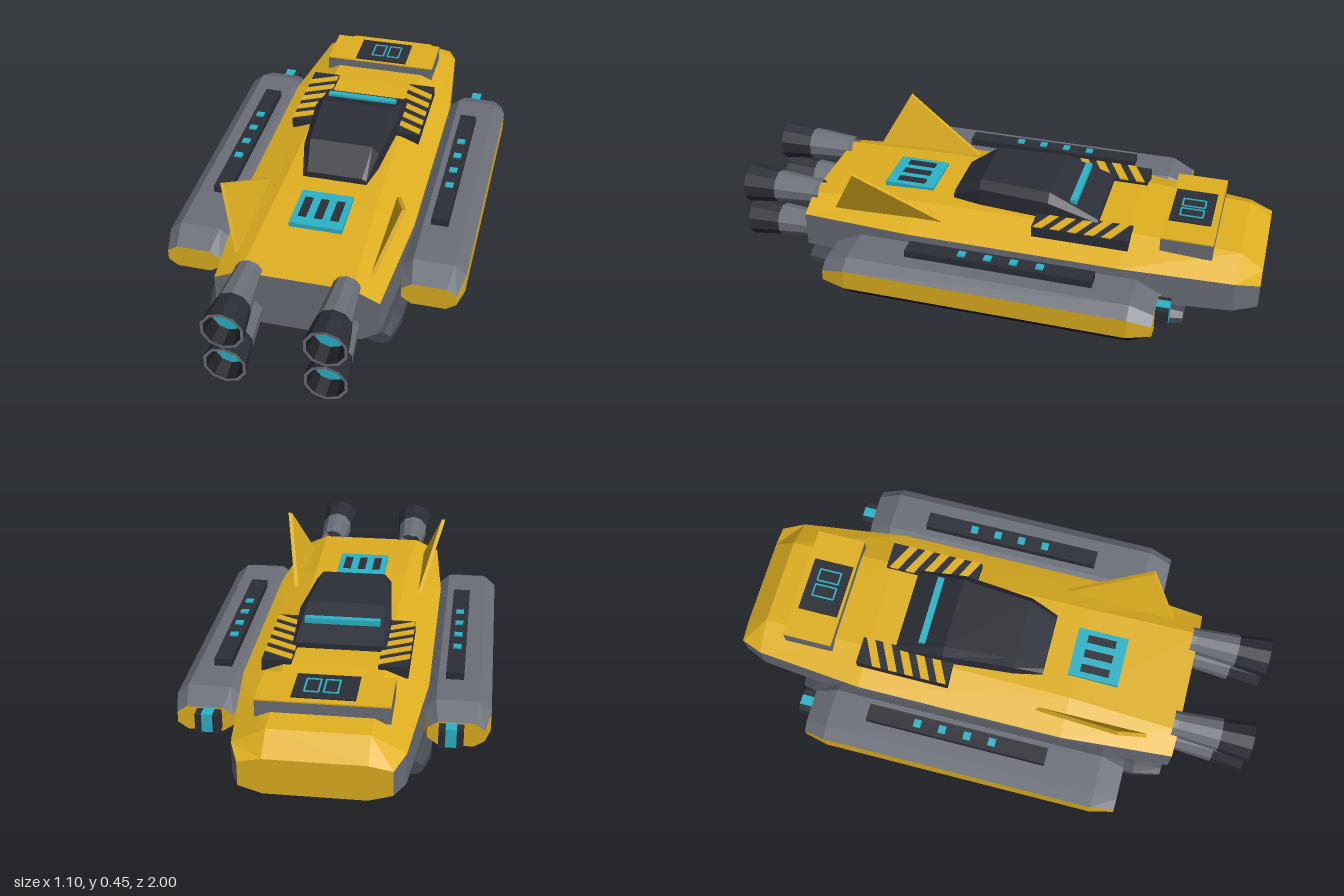
import * as THREE from 'three';

const mat = (color, side = THREE.FrontSide) =>
  new THREE.MeshStandardMaterial({ color, flatShading: true, side });
const YELLOW = mat(0xe0b020), GREY = mat(0x6b6f78), DARK = mat(0x2b2e36), BLACK = mat(0x1c1e23),
  SKID = mat(0x464a52), CYAN = mat(0x2bb3c8);

function add(parent, name, geometry, material, x = 0, y = 0, z = 0) {
  const m = new THREE.Mesh(geometry, material);
  m.name = name;
  m.position.set(x, y, z);
  parent.add(m);
  return m;
}

// box given by its centre in x and z, its bottom and top in y
const box = (parent, name, material, x, z, w, d, y0, y1) =>
  add(parent, name, new THREE.BoxGeometry(w, y1 - y0, d), material, x, (y0 + y1) / 2, z);

// chamfered cross-section: half width, half width of top and bottom, four heights
const section = (z, w, tw, bw, y0, y1, y2, y3) =>
  [[bw, y0], [w, y1], [w, y2], [tw, y3], [-tw, y3], [-w, y2], [-w, y1], [-bw, y0]]
    .map(([x, y]) => new THREE.Vector3(x, y, z));

// skin over sections ordered by rising z; materials for top, sides, bottom and both ends
function loft(parent, name, sections, { top, side, bottom, nose, tail }, x = 0) {
  const group = new THREE.Group();
  group.name = name;
  group.position.x = x;
  parent.add(group);
  const skin = (part, bands, material, caps = []) => {
    const pts = [];
    for (let i = 0; i + 1 < sections.length; i++) for (const j of bands) {
      const k = (j + 1) % 8, s = sections[i], t = sections[i + 1];
      pts.push(s[j], s[k], t[j], s[k], t[k], t[j]);
    }
    for (const [s, flip] of caps) for (let j = 1; j < 7; j++)
      pts.push(s[0], s[flip ? j + 1 : j], s[flip ? j : j + 1]);
    const g = new THREE.BufferGeometry().setFromPoints(pts);
    g.computeVertexNormals();
    add(group, name + part, g, material);
  };
  skin('Top', [2, 3, 4], top);
  skin('Sides', [1, 5], side);
  skin('Bottom', [0, 6, 7], bottom);
  skin('Nose', [], nose, [[sections[0], true]]);
  skin('Tail', [], tail, [[sections.at(-1), false]]);
  return group;
}

function addEngine(parent, x, y) {
  const engine = new THREE.Group();
  engine.name = 'engine';
  engine.position.set(x, y, 0.72);
  parent.add(engine);
  const ring = (name, pts, material) =>
    add(engine, name, new THREE.LatheGeometry(pts.map(p => new THREE.Vector2(...p)), 10)
      .rotateX(Math.PI / 2), material);
  const double = c => mat(c, THREE.DoubleSide);
  ring('engineBody', [[0.05, -0.02], [0.05, 0], [0.063, 0.16]], double(0x6b6f78));
  ring('engineNozzle', [[0.063, 0.16], [0.077, 0.28]], double(0x2b2e36));
  ring('engineRim', [[0.077, 0.28], [0.066, 0.28]], double(0x6b6f78));
  ring('engineThroat', [[0.066, 0.28], [0.055, 0.21]], double(0x1c1e23));
  ring('engineGlow', [[0.056, 0.212], [0, 0.212]], double(0x2bb3c8));
}

export function createModel() {
  const ship = new THREE.Group();
  ship.name = 'spaceship';

  // main hull
  loft(ship, 'hull', [
    section(-1, 0.25, 0.17, 0.17, 0.075, 0.1, 0.19, 0.205),
    section(-0.915, 0.285, 0.17, 0.2, 0.045, 0.09, 0.205, 0.265),
    section(-0.5, 0.33, 0.18, 0.24, 0.035, 0.09, 0.225, 0.285),
    section(0.3, 0.33, 0.185, 0.24, 0.035, 0.09, 0.225, 0.28),
    section(0.725, 0.293, 0.2, 0.23, 0.035, 0.08, 0.215, 0.258),
  ], { top: YELLOW, side: GREY, bottom: BLACK, nose: YELLOW, tail: GREY });

  // cockpit canopy
  loft(ship, 'canopy', [
    section(-0.39, 0.17, 0.16, 0.17, 0.27, 0.285, 0.295, 0.305),
    section(-0.2, 0.17, 0.14, 0.17, 0.27, 0.29, 0.35, 0.38),
    section(0.07, 0.145, 0.12, 0.145, 0.27, 0.29, 0.35, 0.38),
    section(0.178, 0.122, 0.105, 0.122, 0.27, 0.28, 0.295, 0.305),
  ], { top: DARK, side: DARK, bottom: DARK, nose: DARK, tail: DARK });
  box(ship, 'canopyLight', CYAN, 0, -0.29, 0.275, 0.025, 0.335, 0.36);

  // raised nose deck with a display
  box(ship, 'deckBase', GREY, 0, -0.725, 0.45, 0.19, 0.25, 0.31);
  box(ship, 'deckCover', YELLOW, 0, -0.725, 0.45, 0.19, 0.31, 0.315);
  box(ship, 'displayScreen', DARK, 0, -0.718, 0.215, 0.155, 0.31, 0.32);
  for (const x of [-0.02, 0.045]) {
    for (const s of [-1, 1]) {
      box(ship, 'displayFrameSide', CYAN, x + s * 0.024, -0.718, 0.006, 0.085, 0.318, 0.323);
      box(ship, 'displayFrameEnd', CYAN, x, -0.718 + s * 0.042, 0.048, 0.006, 0.318, 0.323);
    }
  }

  // rear vent
  box(ship, 'ventPanel', CYAN, 0, 0.368, 0.195, 0.195, 0.25, 0.29);
  for (const x of [-0.06, 0, 0.06])
    box(ship, 'ventSlot', DARK, x, 0.368, 0.03, 0.11, 0.28, 0.294);

  for (const s of [-1, 1]) {
    // engines
    for (const y of [0.245, 0.09]) addEngine(ship, s * 0.173, y);

    // warning plates with slanted stripes
    box(ship, 'warningPlate', DARK, s * 0.205, -0.34, 0.105, 0.36, 0.255, 0.298);
    for (let i = 0; i < 5; i++) {
      const stripe = new THREE.BoxGeometry(0.105, 0.006, 0.034);
      stripe.applyMatrix4(new THREE.Matrix4().makeShear(0, s * 0.5, 0, 0, 0, 0));
      add(ship, 'warningStripe', stripe, YELLOW, s * 0.205, 0.298, -0.465 + i * 0.064);
    }

    // tail fin, leaning outwards
    const outline = new THREE.Shape([[-0.615, -0.01], [-0.18, 0], [-0.5, 0.2]]
      .map(p => new THREE.Vector2(...p)));
    const fin = new THREE.ExtrudeGeometry(outline, { depth: 0.015, bevelEnabled: false });
    fin.translate(0, 0, -0.0075).rotateY(Math.PI / 2);
    fin.applyMatrix4(new THREE.Matrix4().makeShear(0, 0, s * 0.38, 0, 0, 0));
    add(ship, 'tailFin', fin, YELLOW, s * 0.248, 0.25, 0);

    // side pod
    const x = s * 0.433;
    loft(ship, 'sidePod', [
      section(-0.66, 0.098, 0.062, 0.062, 0.085, 0.11, 0.15, 0.175),
      section(-0.575, 0.117, 0.075, 0.075, 0.055, 0.1, 0.175, 0.212),
      section(0.47, 0.117, 0.075, 0.075, 0.055, 0.1, 0.175, 0.212),
      section(0.56, 0.098, 0.062, 0.062, 0.085, 0.11, 0.15, 0.175),
    ], { top: GREY, side: YELLOW, bottom: BLACK, nose: YELLOW, tail: YELLOW }, x);

    // light strip on the pod
    box(ship, 'podStrip', DARK, s * 0.417, -0.082, 0.064, 0.695, 0.2, 0.24);
    for (let i = 0; i < 4; i++)
      box(ship, 'podLight', CYAN, s * 0.417, -0.235 + i * 0.097, 0.03, 0.028, 0.235, 0.246);

    // lamp at the front of the pod
    box(ship, 'podLamp', DARK, s * 0.417, -0.675, 0.085, 0.06, 0.1, 0.17);
    box(ship, 'podLampGlow', CYAN, s * 0.417, -0.68, 0.038, 0.054, 0.105, 0.174);

    // landing skid
    loft(ship, 'skid', [
      section(-0.745, 0.045, 0.025, 0.025, 0.015, 0.03, 0.05, 0.065),
      section(-0.65, 0.068, 0.04, 0.04, 0.003, 0.025, 0.055, 0.08),
      section(0.6, 0.068, 0.04, 0.04, 0, 0.025, 0.055, 0.08),
      section(0.705, 0.045, 0.025, 0.025, 0.015, 0.03, 0.05, 0.065),
    ], { top: SKID, side: SKID, bottom: SKID, nose: SKID, tail: SKID }, s * 0.282);
  }
  return ship;
}
